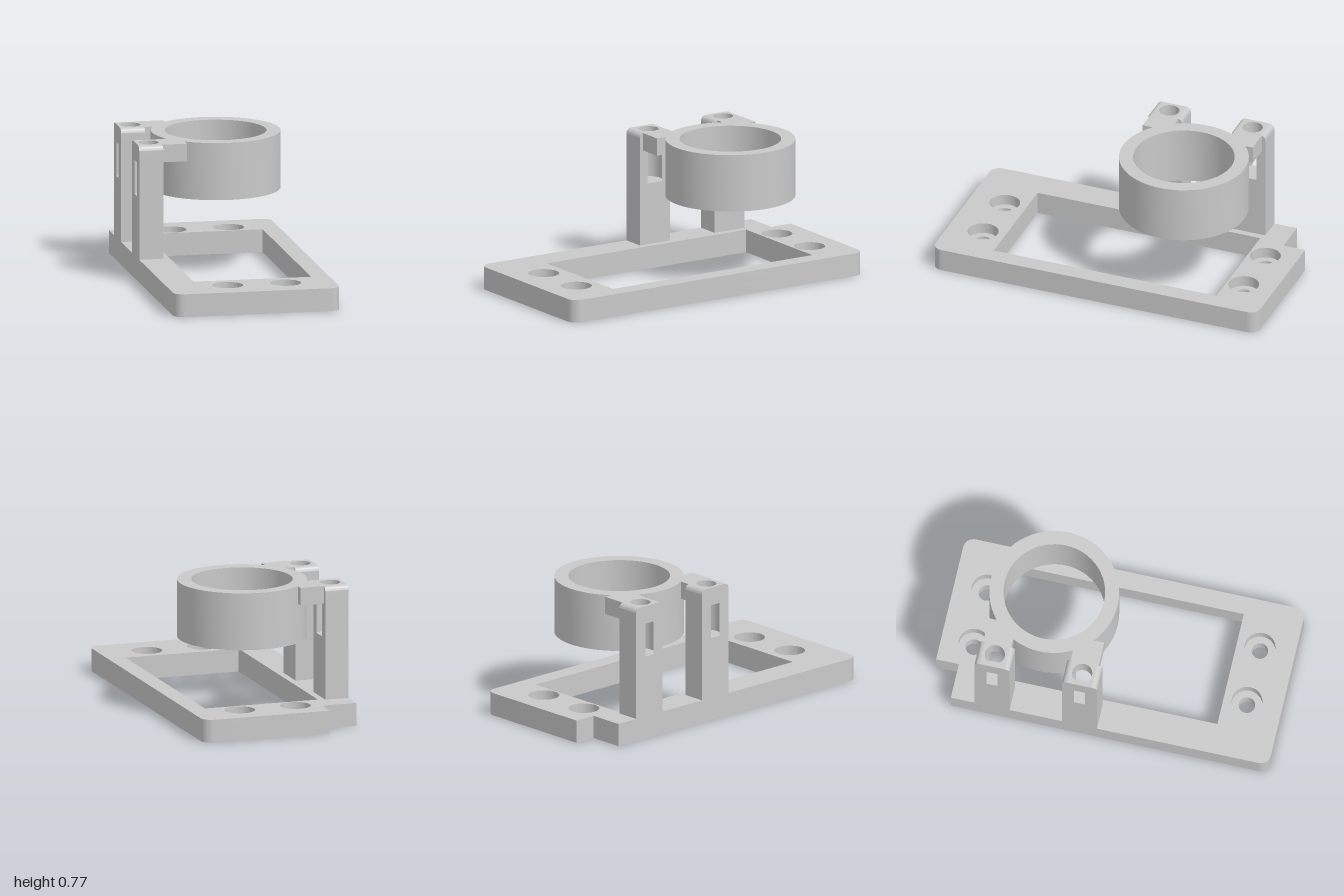
import * as THREE from 'three';
import { toCreasedNormals } from 'three/addons/utils/BufferGeometryUtils.js';

const grey = new THREE.MeshStandardMaterial({ color: 0xc9c9c9 });
grey.name = 'grey';

// Local plan axes: u runs along the plate, v across it (v becomes -z).
function prism(name, shape, y0, y1) {
  const geo = new THREE.ExtrudeGeometry(shape, { depth: y1 - y0, bevelEnabled: false, curveSegments: 32 });
  geo.rotateX(-Math.PI / 2);
  geo.translate(0, y0, 0);
  const mesh = new THREE.Mesh(toCreasedNormals(geo, 0.5), grey);
  mesh.name = name;
  return mesh;
}

function rect(u0, u1, v0, v1) {
  return new THREE.Shape([[u0, v0], [u1, v0], [u1, v1], [u0, v1]].map(([u, v]) => new THREE.Vector2(u, v)));
}

function circle(u, v, r) {
  return new THREE.Path().absarc(u, v, r, 0, Math.PI * 2, true);
}

// Frame outline with three rounded corners and a notched fourth one
function frameShape(holeRadius) {
  const u0 = -0.996, u1 = 0.949, v0 = -0.493, v1 = 0.452, r = 0.06;
  const notchU = -0.866, notchV = -0.29;
  const s = new THREE.Shape();
  s.moveTo(u0, notchV);
  s.lineTo(notchU, notchV);
  s.lineTo(notchU, v0);
  s.absarc(u1 - r, v0 + r, r, -Math.PI / 2, 0, false);
  s.absarc(u1 - r, v1 - r, r, 0, Math.PI / 2, false);
  s.absarc(u0 + r, v1 - r, r, Math.PI / 2, Math.PI, false);
  s.closePath();
  s.holes.push(rect(-0.716, 0.617, -0.318, 0.35));
  for (const u of [-0.812, 0.748])
    for (const v of [-0.151, 0.178]) s.holes.push(circle(u, v, holeRadius));
  return s;
}

const PLATE = 0.13, TOP = 0.775, HALF_U = 0.1, HALF_V = 0.0685;

// Post with a screw hole in the top that opens into a wider nut pocket
function createPost(name, u) {
  const post = new THREE.Group();
  post.name = name;
  const pocketY = 0.48, capY = 0.672, flat = 0.07, holeV = 0.005;
  post.add(prism('postShaft', rect(-HALF_U, HALF_U, -HALF_V, HALF_V), PLATE - 0.01, pocketY));

  const cap = rect(-flat, flat, -HALF_V, HALF_V);
  cap.holes.push(circle(0, holeV, 0.056));
  post.add(prism('postCap', cap, capY, TOP));

  const r = 0.08, round = HALF_U - flat;
  for (const side of [1, -1]) {
    // Pocket wall: the pocket is wider than the post is deep, so it breaks through both faces
    const back = Math.asin((HALF_V - holeV) / r), front = Math.asin((-HALF_V - holeV) / r);
    const wall = new THREE.Shape();
    wall.moveTo(side * HALF_U, -HALF_V);
    wall.lineTo(side * HALF_U, HALF_V);
    if (side > 0) wall.absarc(0, holeV, r, back, front, true);
    else wall.absarc(0, holeV, r, Math.PI - back, Math.PI - front, false);
    wall.closePath();
    post.add(prism('pocketWall', wall, pocketY, capY));

    // Rounded shoulder strip beside the cap
    const shoulder = new THREE.Shape();
    shoulder.moveTo(side * flat, capY);
    shoulder.lineTo(side * HALF_U, capY);
    shoulder.absarc(side * flat, TOP - round, round, side > 0 ? 0 : Math.PI, Math.PI / 2, side < 0);
    shoulder.closePath();
    const geo = new THREE.ExtrudeGeometry(shoulder, { depth: 2 * HALF_V, bevelEnabled: false, curveSegments: 8 });
    geo.translate(0, 0, -HALF_V);
    const strip = new THREE.Mesh(toCreasedNormals(geo, 0.5), grey);
    strip.name = 'shoulder';
    post.add(strip);
  }

  // Ear reaching from the post to the ring
  post.add(prism('ear', rect(-0.08, 0.08, HALF_V - 0.002, 0.208), 0.675, TOP));
  post.position.set(u, 0, 0.4245);
  return post;
}

export function createModel() {
  const model = new THREE.Group();
  model.name = 'ringMount';
  const body = new THREE.Group();
  body.name = 'mountBody';
  body.rotation.y = -THREE.MathUtils.degToRad(45.5);
  model.add(body);

  // Frame in two layers: through holes below, counterbores above
  body.add(prism('frameLower', frameShape(0.046), 0, 0.068));
  body.add(prism('frameUpper', frameShape(0.086), 0.068, PLATE));

  // Holding ring
  const ring = new THREE.Shape().absarc(-0.39, 0.016, 0.362, 0, Math.PI * 2, false);
  ring.holes.push(circle(-0.39, 0.016, 0.283));
  body.add(prism('ring', ring, 0.45, TOP));

  body.add(createPost('rearPost', -0.631));
  body.add(createPost('frontPost', -0.132));
  return model;
}
